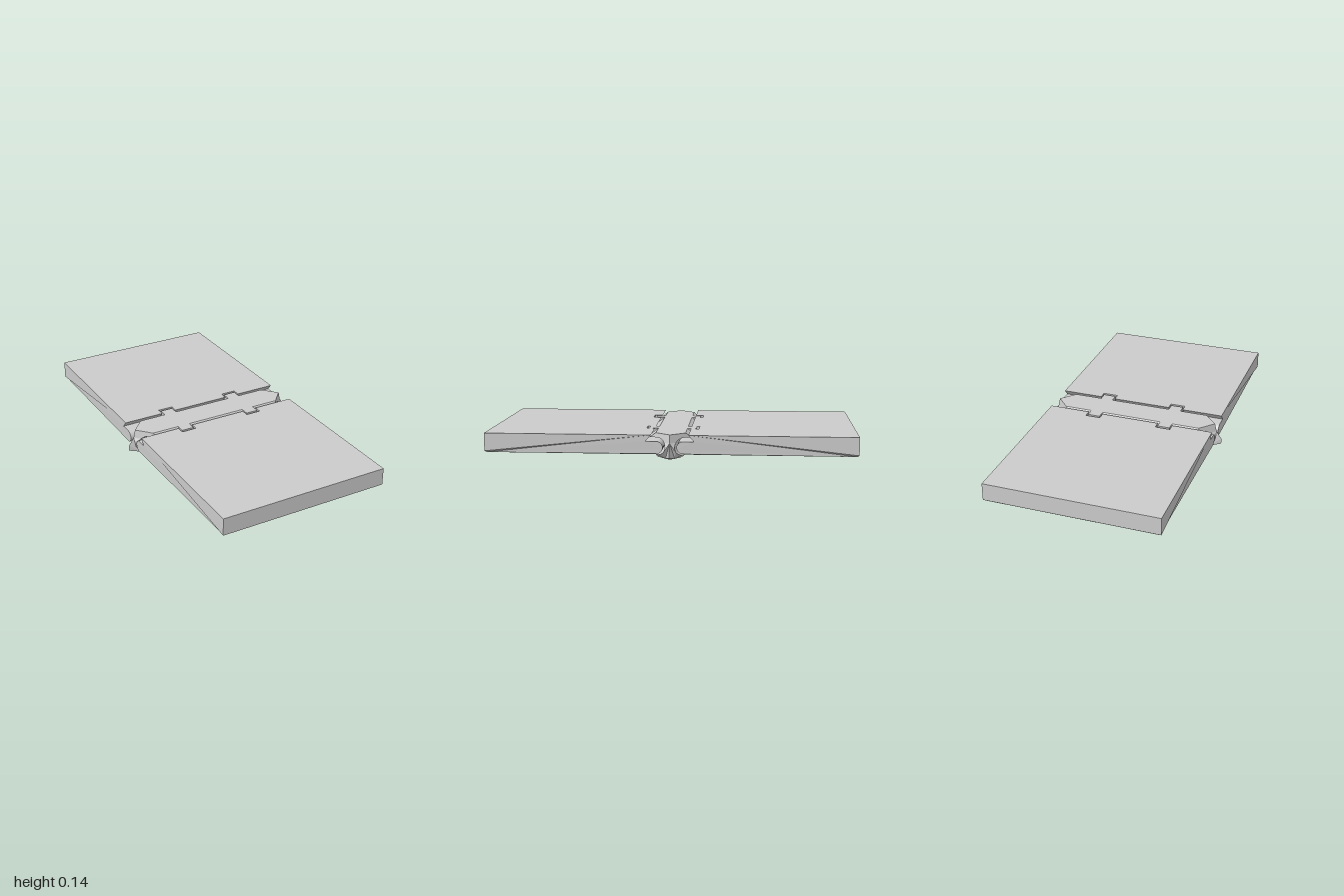
import * as THREE from 'three';

const material = new THREE.MeshStandardMaterial({ color: 0xcccccc, flatShading: true });

// Points on an arc in the (z, y) section plane
function arc(cz, cy, r, from, to, n) {
  return Array.from({ length: n + 1 }, (_, i) => {
    const a = from + (to - from) * i / n;
    return [cz + r * Math.cos(a), cy + r * Math.sin(a)];
  });
}

// Extrude a (z, y) section along x, then move vertices by a rule for x
function extrudeX(section, x0, x1, rule) {
  const shape = new THREE.Shape(section.map(p => new THREE.Vector2(...p)));
  const geo = new THREE.ExtrudeGeometry(shape, { depth: x1 - x0, bevelEnabled: false });
  geo.rotateY(-Math.PI / 2).translate(x1, 0, 0);
  const p = geo.attributes.position;
  for (let i = 0; i < p.count; i++) p.setX(i, rule(p.getX(i), p.getY(i), p.getZ(i)));
  geo.computeVertexNormals();
  return geo;
}

function add(group, name, geo) {
  const mesh = new THREE.Mesh(geo, material);
  mesh.name = name;
  group.add(mesh);
  return mesh;
}

// Slab with a rounded nose, an undercut lip and two tab slots
function makePanel() {
  const panel = new THREE.Group();
  const nose = arc(0.07, 0.0675, 0.033, Math.PI / 2, Math.PI * 1.5, 12);
  const rest = [...nose, [0.085, 0.03], [0.99, 0.03], [1, 0.038], [1, 0.135]];
  const lip = [[0.10, 0.135], [0.13, 0.10], ...rest];
  const slot = [[0.145, 0.135], [0.145, 0.10], ...rest];
  const cuts = [-0.48, -0.25, -0.165, 0.165, 0.25, 0.48];
  // narrow the underside slightly for the chamfered bottom edge
  const chamfer = (x, y) => y < 0.032 ? THREE.MathUtils.clamp(x, -0.47, 0.47) : x;
  for (let i = 0; i < 5; i++) {
    add(panel, i % 2 ? 'slottedSection' : 'panelSection',
      extrudeX(i % 2 ? slot : lip, cuts[i], cuts[i + 1], chamfer));
  }
  return panel;
}

// Half of the connecting bar: curved foot, waist cupping the nose, dovetail wing
function makeConnectorHalf() {
  const half = new THREE.Group();
  const cup = arc(0.07, 0.0675, 0.044, Math.PI * 1.5, Math.PI / 2, 12);
  const section = [
    [0, 0], [0.025, 0.001], [0.05, 0.007], [0.068, 0.015], [0.077, 0.023],
    ...cup, [0.118, 0.106], [0.08, 0.135],
    [0, 0.135], [0, 0.09], [0, 0.045], [0, 0.015],
  ];
  // pointed ends: reach depends on height and shrinks away from the centre
  const profile = [[0, 0.46], [0.015, 0.51], [0.045, 0.51], [0.09, 0.48], [0.135, 0.47]];
  const reach = (y, z) => {
    let i = 0;
    while (i < 3 && y > profile[i + 1][0]) i++;
    const [a, b] = [profile[i], profile[i + 1]];
    return a[1] + (b[1] - a[1]) * (y - a[0]) / (b[0] - a[0]) - 0.9 * Math.abs(z);
  };
  add(half, 'connectorBar', extrudeX(section, -0.5, 0.5, (x, y, z) => Math.sign(x) * reach(y, z)));
  // locking tabs at the top and small lugs on the foot
  for (const side of [-1, 1]) {
    add(half, 'lockingTab', new THREE.BoxGeometry(0.07, 0.032, 0.06))
      .position.set(side * 0.2075, 0.119, 0.1);
    add(half, 'footLug', new THREE.BoxGeometry(0.07, 0.009, 0.045))
      .position.set(side * 0.2075, 0.0255, 0.0645);
  }
  return half;
}

export function createModel() {
  const model = new THREE.Group();
  model.name = 'joinedPanels';
  for (const [label, turn] of [['front', 0], ['back', Math.PI]]) {
    const panel = makePanel();
    panel.name = label + 'Panel';
    const half = makeConnectorHalf();
    half.name = label + 'ConnectorHalf';
    panel.rotation.y = half.rotation.y = turn;
    model.add(panel, half);
  }
  return model;
}
